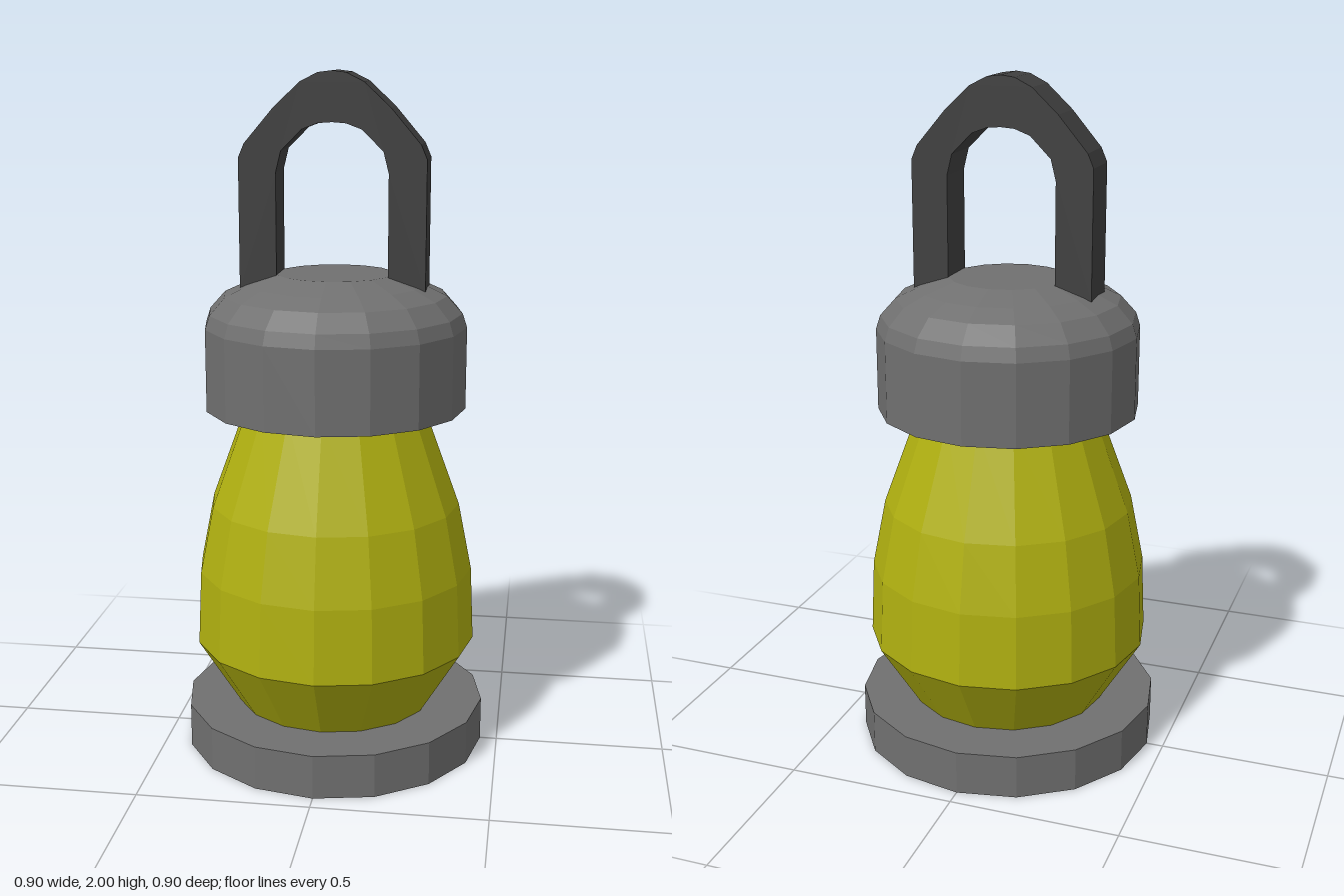
import * as THREE from 'three';

const SIDES = 16;

const paint = (color) => new THREE.MeshStandardMaterial({ color, flatShading: true });

// Faceted turned part from a bottom-to-top profile of [radius, height]
function turned(name, profile, material) {
  const points = profile.map(([r, y]) => new THREE.Vector2(r, y));
  const mesh = new THREE.Mesh(new THREE.LatheGeometry(points, SIDES), material);
  mesh.name = name;
  return mesh;
}

// Mirror a right-hand half outline (ending on the centre line) to the left
const arch = (half) => [...half, ...half.slice(0, -1).reverse().map(([x, y]) => [-x, y])];

export function createModel() {
  const model = new THREE.Group();
  model.name = 'lantern';
  const metal = paint(0x707070);
  const darkMetal = paint(0x404040);
  const glass = paint(0xb0b010);

  // Flat foot
  model.add(turned('base', [[0, 0], [0.45, 0], [0.45, 0.13], [0, 0.13]], metal));

  // Bulging glass body
  model.add(turned('glassBody', [
    [0, 0.12], [0.29, 0.12], [0.42, 0.33], [0.41, 0.55], [0.37, 0.75], [0.26, 1.05], [0, 1.05],
  ], glass));

  // Domed cap
  model.add(turned('cap', [
    [0, 1.04], [0.383, 1.04], [0.383, 1.28], [0.37, 1.32], [0.325, 1.37], [0.26, 1.4], [0.17, 1.43], [0, 1.43],
  ], metal));

  // Carrying loop: square-section arch with straight legs
  const outer = arch([[0.267, 1.39], [0.267, 1.76], [0.25, 1.8], [0.165, 1.9], [0.09, 1.97], [0.04, 1.995], [0, 2]]);
  const inner = arch([[0.16, 1.39], [0.16, 1.72], [0.145, 1.78], [0.085, 1.84], [0.04, 1.857], [0, 1.86]]);
  const outline = [...outer, ...inner.reverse()].map(([x, y]) => new THREE.Vector2(x, y));
  const loop = new THREE.ExtrudeGeometry(new THREE.Shape(outline), { depth: 0.132, bevelEnabled: false });
  loop.translate(0, 0, -0.066);
  const handle = new THREE.Mesh(loop, darkMetal);
  handle.name = 'handle';
  model.add(handle);

  return model;
}
